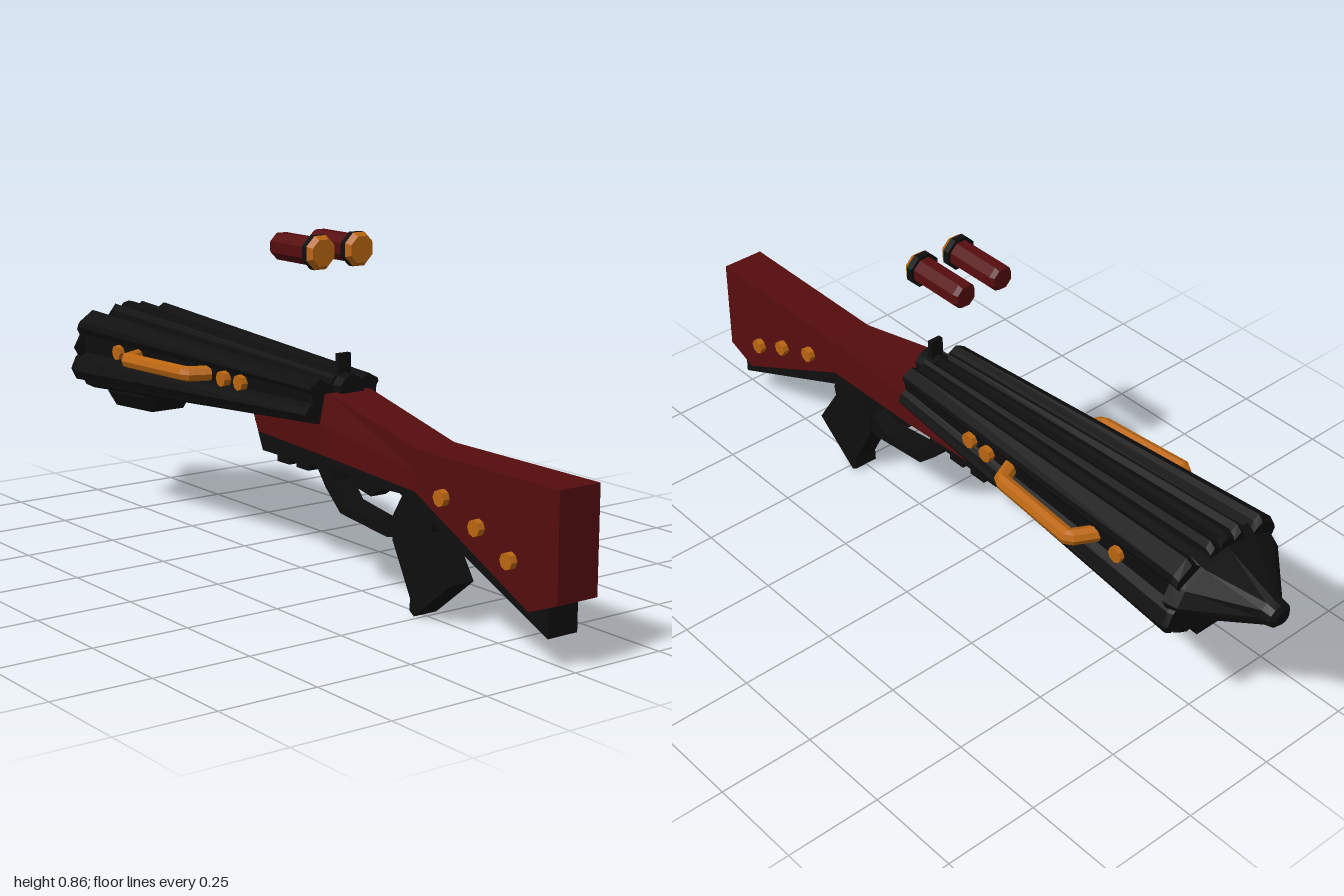
import * as THREE from 'three';

const black = new THREE.MeshStandardMaterial({ color: 0x0e0e0e });
black.name = 'gunmetal black';
const red = new THREE.MeshStandardMaterial({ color: 0x560d0e });
red.name = 'dark red';
const orange = new THREE.MeshStandardMaterial({ color: 0xbb6611 });
orange.name = 'brass orange';
for (const m of [black, red, orange]) m.flatShading = true;

// Closed solid through rings of [x, y] (counter-clockwise from the front), z falling
function loft(rings) {
  const pos = [];
  const n = rings[0].pts.length;
  const put = (...ps) => ps.forEach(p => pos.push(...p));
  const at = (r, i) => [...r.pts[i % n], r.z];
  for (let k = 0; k < rings.length - 1; k++) {
    for (let i = 0; i < n; i++) {
      const a = at(rings[k], i), b = at(rings[k], i + 1);
      const d = at(rings[k + 1], i), c = at(rings[k + 1], i + 1);
      put(a, d, b, d, c, b);
    }
  }
  const cap = (r, flip) => {
    const mid = [0, r.pts.reduce((s, p) => s + p[1], 0) / n, r.z];
    for (let i = 0; i < n; i++) {
      if (flip) put(mid, at(r, i + 1), at(r, i));
      else put(mid, at(r, i), at(r, i + 1));
    }
  };
  cap(rings[0], false);
  cap(rings[rings.length - 1], true);
  const g = new THREE.BufferGeometry();
  g.setAttribute('position', new THREE.Float32BufferAttribute(pos, 3));
  g.computeVertexNormals();
  return g;
}

// Side profile of [z, y] points extruded from x0 to x1
function sideExtrude(points, x0, x1, holePoints) {
  const vecs = list => list.map(p => new THREE.Vector2(...p));
  const shape = new THREE.Shape(vecs(points));
  if (holePoints) shape.holes.push(new THREE.Path(vecs(holePoints)));
  return new THREE.ExtrudeGeometry(shape, { depth: x1 - x0, bevelEnabled: false })
    .rotateY(-Math.PI / 2).translate(x1, 0, 0);
}

// Right half of the ribbed shroud section, bottom to top
const shroudHalf = [
  [0, 0.355], [0.07, 0.362], [0.115, 0.34], [0.14, 0.353], [0.148, 0.378],
  [0.17, 0.371], [0.181, 0.395], [0.166, 0.43], [0.146, 0.445], [0.15, 0.495],
  [0.16, 0.515], [0.155, 0.532], [0.115, 0.56], [0.098, 0.55], [0.088, 0.53],
  [0.058, 0.538], [0.055, 0.555], [0.043, 0.571], [0.022, 0.556], [0.018, 0.571], [0, 0.576],
];

function shroudRing(z, sx, bottom, top) {
  const right = shroudHalf.map(([x, y]) =>
    [x * sx, bottom + (y - 0.34) / 0.236 * (top - bottom)]);
  const left = right.slice(1, -1).reverse().map(([x, y]) => [-x, y]);
  return { z, pts: [...right, ...left] };
}

function ovalRing(z, rx, y0, y1, n = 12) {
  const pts = [];
  for (let i = 0; i < n; i++) {
    const a = i / n * Math.PI * 2;
    pts.push([rx * Math.cos(a), (y0 + y1) / 2 + (y1 - y0) / 2 * Math.sin(a)]);
  }
  return { z, pts };
}

export function createModel() {
  const model = new THREE.Group();
  const add = (name, geometry, material, parent = model) => {
    const mesh = new THREE.Mesh(geometry, material);
    mesh.name = name;
    parent.add(mesh);
    return mesh;
  };

  // Ribbed barrel shroud and muzzle
  add('barrelShroud', loft([
    shroudRing(0.18, 0.64, 0.408, 0.525),
    shroudRing(-0.81, 1, 0.345, 0.576),
    shroudRing(-0.825, 0.98, 0.355, 0.562),
  ]), black);
  add('muzzleNose', loft([
    ovalRing(-0.8, 0.175, 0.375, 0.555),
    ovalRing(-0.835, 0.162, 0.38, 0.535),
    ovalRing(-0.965, 0.037, 0.41, 0.483),
    ovalRing(-0.99, 0.034, 0.418, 0.476),
    ovalRing(-1, 0.02, 0.43, 0.464),
  ]), black);

  // Bulge under the muzzle
  const lumpRing = (z, y) => ({
    z, pts: [[-0.05, y], [0.05, y], [0.075, y + 0.04], [0.075, 0.4], [-0.075, 0.4], [-0.075, y + 0.04]],
  });
  add('underBarrelBulge', loft([
    lumpRing(-0.57, 0.358), lumpRing(-0.615, 0.3), lumpRing(-0.8, 0.29), lumpRing(-0.83, 0.35),
  ]), black);

  // Rear sight and hinge boss
  add('rearSight', new THREE.BoxGeometry(0.036, 0.1, 0.014).translate(0, 0.523, 0.173), black);
  add('hingeBoss', new THREE.CylinderGeometry(0.036, 0.04, 0.06, 10)
    .rotateX(Math.PI / 2).translate(0, 0.49, 0.18), black);

  // Red stock, from butt to fore-end: z, bottom, top, lower and upper half widths
  add('stock', loft([
    [1, 0.158, 0.41, 0.058, 0.058],
    [0.91, 0.123, 0.41, 0.058, 0.058],
    [0.52, 0.31, 0.41, 0.058, 0.058],
    [0.2, 0.335, 0.485, 0.075, 0.06],
    [-0.08, 0.345, 0.43, 0.07, 0.065],
    [-0.1, 0.37, 0.42, 0.068, 0.065],
  ].map(([z, y0, y1, w0, w1]) => {
    const shoulder = y0 + (y1 - y0) * 0.5;
    return { z, pts: [[-w0, y0], [w0, y0], [w0, shoulder], [w1, y1], [-w1, y1], [-w0, shoulder]] };
  })), red);

  // Black rail beneath the stock and receiver
  add('underRail', sideExtrude([
    [0.96, 0.073], [0.55, 0.25], [0.45, 0.29], [0.33, 0.285], [0.24, 0.3], [0.14, 0.3],
    [0.1, 0.29], [-0.1, 0.29], [-0.14, 0.38], [-0.08, 0.38], [0.2, 0.36], [0.5, 0.34], [0.96, 0.16],
  ], -0.045, 0.04), black);
  for (const z of [0.055, -0.025]) {
    add('railLug', new THREE.BoxGeometry(0.07, 0.04, 0.05).translate(0, 0.29, z), black);
  }

  // Grip, trigger and guard
  add('grip', sideExtrude([
    [0.55, 0.24], [0.545, 0.215], [0.617, 0.105], [0.485, 0], [0.468, 0.01], [0.47, 0.04],
    [0.403, 0.165], [0.4, 0.22], [0.45, 0.3], [0.54, 0.28],
  ], -0.027, 0.04), black);
  add('triggerGuard', sideExtrude([
    [0.42, 0.175], [0.38, 0.168], [0.2, 0.187], [0.14, 0.24], [0.1, 0.29], [0.1, 0.32],
    [0.15, 0.31], [0.17, 0.26], [0.21, 0.215], [0.33, 0.197], [0.42, 0.23],
  ], -0.027, 0.035), black);
  add('trigger', sideExtrude([
    [0.38, 0.3], [0.35, 0.275], [0.31, 0.25], [0.26, 0.26], [0.22, 0.3],
  ], -0.02, 0.025), black);

  // Brass studs and side handles
  const stud = (name, x, y, z, length) => add(name,
    new THREE.CylinderGeometry(0.02, 0.02, length, 8)
      .rotateZ(Math.PI / 2).translate(x, y, z), orange);
  for (const side of [1, -1]) {
    for (const [y, z] of [[0.225, 0.853], [0.275, 0.745], [0.318, 0.625]]) {
      stud('stockStud', side * 0.06, y, z, 0.03);
    }
    for (const [x, z] of [[0.126, -0.093], [0.132, -0.16], [0.153, -0.627]]) {
      stud('shroudStud', side * (x - 0.02), 0.472, z, 0.04);
    }
    const path = new THREE.CurvePath();
    const pts = [[0.11, -0.235], [0.165, -0.26], [0.187, -0.515], [0.12, -0.55]]
      .map(([x, z]) => new THREE.Vector3(side * x, 0.473, z));
    for (let i = 0; i < 3; i++) path.add(new THREE.LineCurve3(pts[i], pts[i + 1]));
    add('sideHandle', new THREE.TubeGeometry(path, 40, 0.02, 8, false), orange);
  }

  // Pair of loose shells above the breech
  for (const side of [1, -1]) {
    const shell = new THREE.Group();
    shell.name = 'shell';
    shell.position.set(side * 0.057, 0.817, 0);
    model.add(shell);
    const disc = (name, r0, r1, z0, z1, material) => add(name,
      new THREE.CylinderGeometry(r1, r0, z1 - z0, 8)
        .rotateY(Math.PI / 8).rotateX(Math.PI / 2).translate(0, 0, (z0 + z1) / 2), material, shell);
    disc('shellCase', 0.035, 0.035, 0, 0.145, red);
    disc('shellTip', 0.028, 0.035, -0.012, 0, red);
    disc('shellRim', 0.044, 0.044, 0.14, 0.157, black);
    disc('shellCap', 0.044, 0.034, 0.157, 0.171, orange);
  }
  return model;
}
